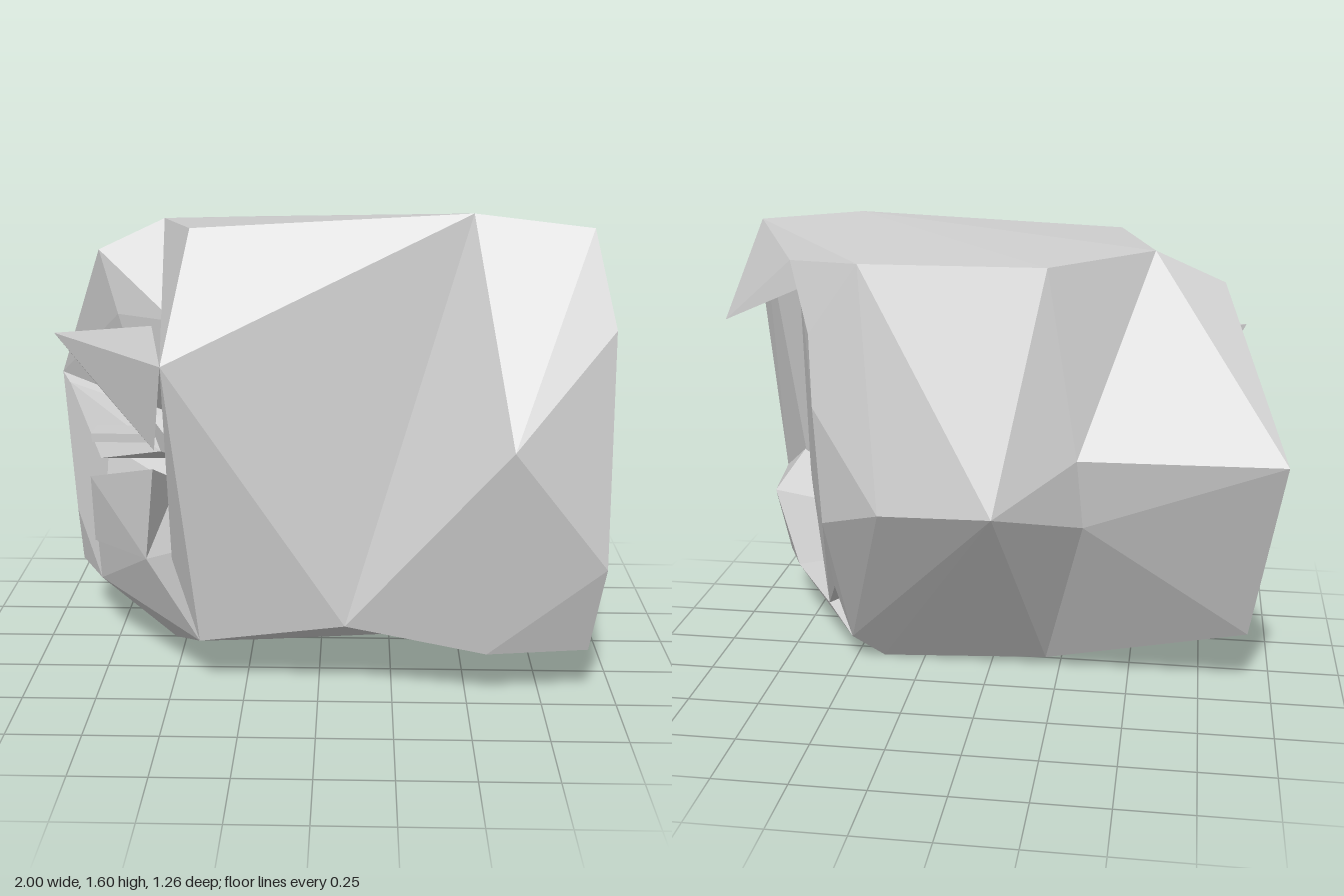
import * as THREE from 'three';
import { ConvexGeometry } from 'three/addons/geometries/ConvexGeometry.js';

// Shared corners of the broken rock
const P = {
  ridge: [0.5, 1.605, 0.21], ridgeR: [-0.42, 1.56, 0.25], ridgeL: [0.885, 1.565, 0.25],
  beak: [0.995, 1.22, 0.1], rimTop: [0.945, 1.265, 0.41], belly: [0.615, 0.925, 0.63],
  rimMid: [0.93, 0.52, 0.575], rimLow: [0.9, 0.195, 0.475], lowMid: [0.56, 0.19, 0.51],
  lowFront: [0.09, 0.285, 0.51], lowRight: [-0.4, 0.19, 0.43], shoulder: [-0.49, 1.17, 0.54],
  footR: [-0.52, 0.065, 0.13], footM: [-0.2, 0.02, 0.05], footL: [0.4, 0.005, -0.06],
  heelL: [0.5, 0.11, -0.14], heelR: [-0.2, 0.04, -0.07],
  cutBase: [0.62, 0.175, 0], cutCorner: [0.81, 0.21, 0.27], cutNotch: [0.91, 0.495, 0.33],
  cutLow: [0.55, 0.32, -0.18], cutMid: [0.52, 0.65, -0.42], cutHigh: [0.54, 1.05, -0.42],
  cutTop: [0.56, 1.28, -0.36], cutRoof: [0.69, 1.475, -0.09],
  lipTop: [0.73, 1.3, 0.36], lipLow: [0.8, 0.52, 0.45],
  backTopL: [0.39, 1.515, -0.365], backTopR: [-0.22, 1.515, -0.355],
  backL: [0.3, 0.735, -0.56], backR: [-0.08, 0.765, -0.63],
  sideHigh: [-0.33, 0.91, -0.44], sideLow: [-0.35, 0.67, -0.4],
  crown: [-0.55, 1.54, -0.12], horn: [-0.78, 1.435, -0.085], spur: [-1, 0.91, -0.42],
  spurLow: [-0.92, 0.44, -0.18], toe: [-0.91, 0.235, -0.2], toeFront: [-0.8, 0.25, 0.03],
  knee: [-0.58, 0.465, 0.38],
};

// Each chunk: corner names, or extra points of its own
const chunks = {
  mainBody: ['ridge', 'ridgeR', 'shoulder', 'lowFront', 'lowRight', 'footR', 'footM', 'footL',
    'heelL', 'heelR', 'cutLow', 'cutMid', 'cutHigh', 'cutTop', 'backTopL', 'backTopR',
    'backL', 'backR', 'sideHigh', 'sideLow', 'crown'],
  brokenEnd: ['ridge', 'lowFront', 'lipTop', 'lipLow', 'cutBase', 'cutLow', 'cutMid',
    'cutHigh', 'cutTop', [0.66, 1.46, -0.09], [0.66, 0.22, 0.27]],
  frontFlange: ['ridge', 'ridgeL', 'rimTop', 'belly', 'rimMid', 'lowFront', 'lipTop', 'lipLow'],
  lowerFlange: ['belly', 'rimMid', 'rimLow', 'lowMid', 'lowFront', 'cutCorner', 'cutNotch'],
  underside: ['lowMid', 'rimLow', 'lowFront', 'footL', 'heelL', 'cutBase', 'cutCorner'],
  roofOverhang: ['ridge', 'ridgeL', 'beak', 'cutRoof', 'backTopL', [0.6, 1.45, 0.1]],
  roofBack: ['ridge', 'cutRoof', 'cutTop', 'backTopL', [0.4, 1.3, 0]],
  upperSpur: ['crown', 'horn', 'spur', 'sideHigh', 'sideLow', [-0.71, 1.22, -0.02],
    [-0.5, 1.22, 0.1], [-0.62, 0.9, 0]],
  lowerSpur: ['spur', 'spurLow', 'toe', 'toeFront', 'footR', 'heelR', 'sideLow', 'sideHigh',
    [-0.77, 0.73, -0.06], [-0.5, 0.6, 0.05]],
  brokenShelf: [[-0.95, 0.9, -0.3], [-0.62, 0.9, 0.05], [-0.53, 0.82, 0.3], [-0.77, 0.73, 0.1],
    [-0.5, 0.7, 0]],
  cornerShard: ['toeFront', 'footR', 'knee', 'lowRight', [-0.8, 0.46, 0.08], [-0.45, 0.4, 0.1]],
  sideSpike: ['shoulder', [-0.87, 1.22, 0.285], [-0.73, 0.98, 0.17], [-0.58, 1.2, 0.08],
    [-0.53, 0.87, 0.45]],
  middleShard: ['knee', [-0.77, 0.73, 0.3], [-0.54, 0.8, 0.43], [-0.78, 0.47, 0.22],
    [-0.5, 0.65, 0.1]],
};

export function createModel() {
  const group = new THREE.Group();
  const stone = new THREE.MeshStandardMaterial({ color: 0xcccccc, flatShading: true, side: THREE.DoubleSide });
  const vec = (p) => new THREE.Vector3(...(typeof p === 'string' ? P[p] : p));
  const add = (name, geometry) => {
    const mesh = new THREE.Mesh(geometry, stone);
    mesh.name = name;
    group.add(mesh);
    return mesh;
  };

  // Faceted stone chunks
  for (const [name, points] of Object.entries(chunks)) add(name, new ConvexGeometry(points.map(vec)));

  // Thin facet joining the beak to the front rim
  const facet = new THREE.BufferGeometry().setFromPoints(['ridgeL', 'rimTop', 'beak'].map(vec));
  facet.computeVertexNormals();
  add('beakFacet', facet);

  // Thin slab wedged in the broken side
  add('sliver', new THREE.BoxGeometry(0.2, 0.03, 0.1)).position.set(-0.67, 0.85, 0.2);
  return group;
}
